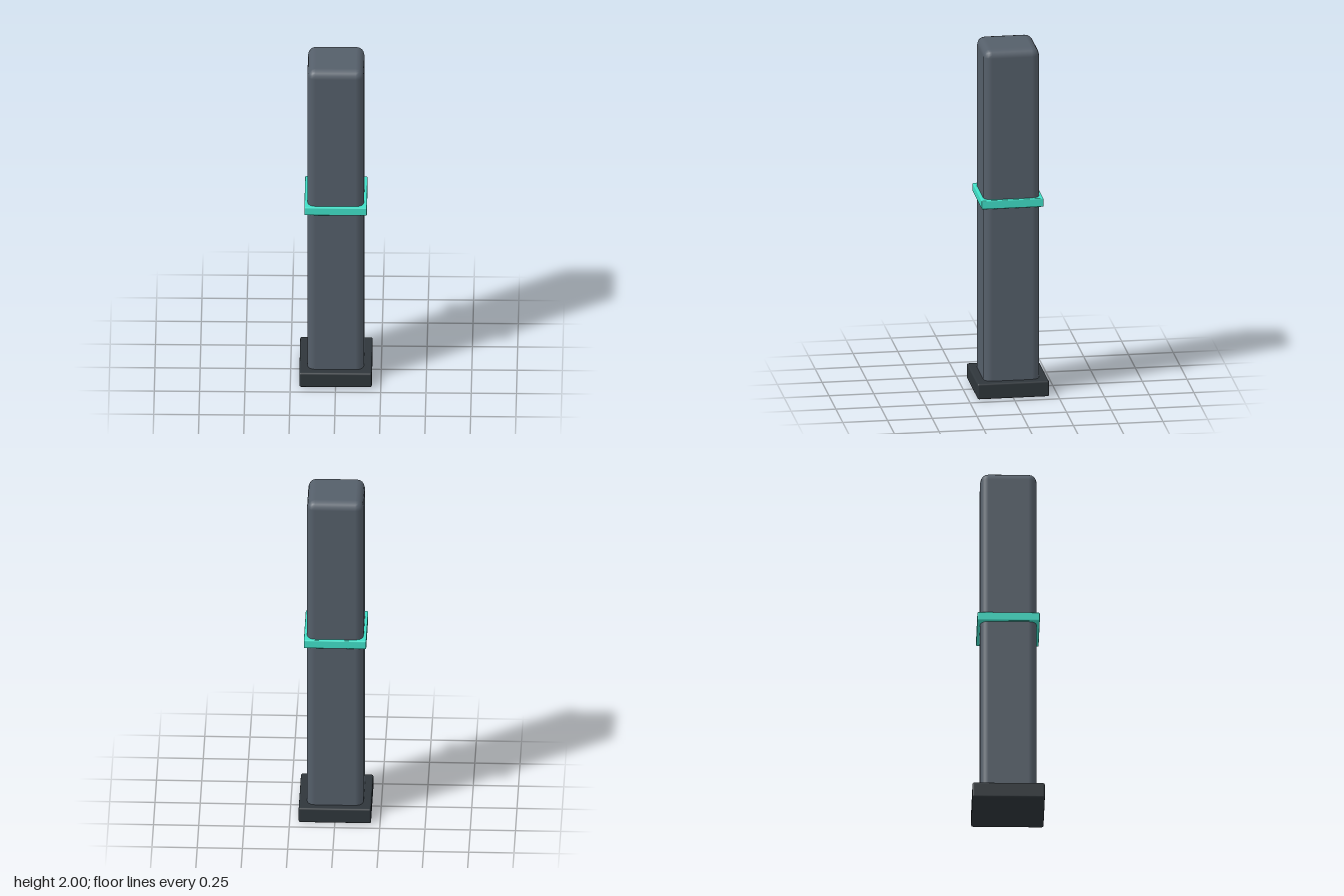
import * as THREE from 'three';
import { RoundedBoxGeometry } from 'three/addons/geometries/RoundedBoxGeometry.js';

// Square rounded block standing between two heights
function block(name, width, bottom, top, radius, color) {
  const mesh = new THREE.Mesh(
    new RoundedBoxGeometry(width, top - bottom, width, 2, radius),
    new THREE.MeshStandardMaterial({ color })
  );
  mesh.name = name;
  mesh.position.y = (bottom + top) / 2;
  return mesh;
}

export function createModel() {
  const model = new THREE.Group();
  model.name = 'bollard';
  model.add(
    // Wide foot, with the post sunk into it
    block('base', 0.4, 0, 0.09, 0.01, 0x2f363b),
    block('post', 0.312, 0.004, 2, 0.045, 0x555f6a),
    // Bright band around the post
    block('band', 0.345, 1.09, 1.14, 0.006, 0x40e0c8)
  );
  return model;
}
